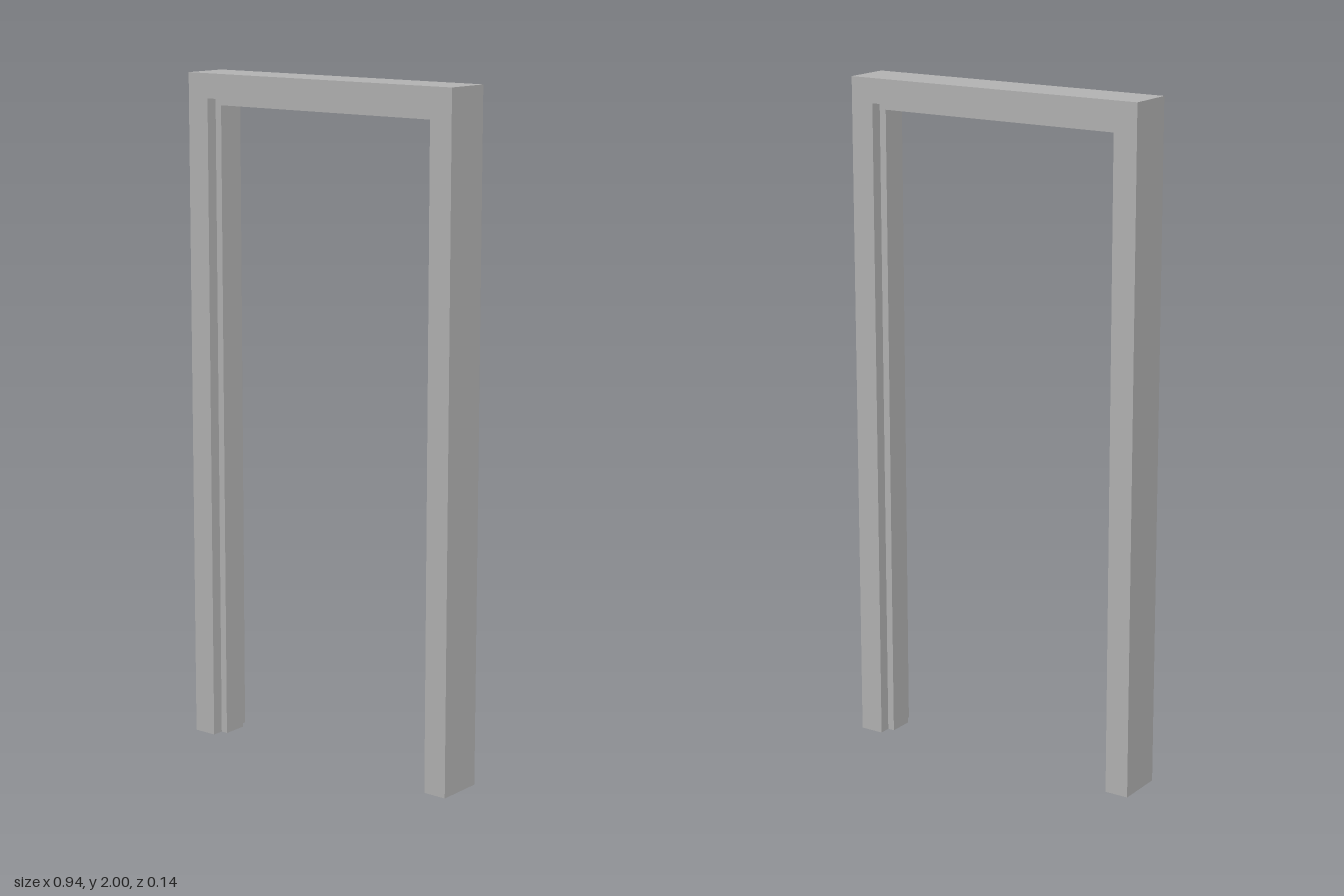
import * as THREE from 'three';

const W = 0.471;   // half width
const H = 2;       // height
const F = 0.072;   // half depth
const JAMB = 0.072; // jamb thickness
const STOP = 0.093; // thickness including the stop
const S = 0.037;   // half depth of the stop

// Cross-section of the frame as [inset from outer edge, z]
const profile = [
  [0, F], [JAMB, F], [JAMB, S], [STOP, S],
  [STOP, -S], [JAMB, -S], [JAMB, -F], [0, -F],
];

// Four mitred stations: foot, corner, corner, foot
const stations = [
  (d) => [-(W - d), 0],
  (d) => [-(W - d), H - d],
  (d) => [W - d, H - d],
  (d) => [W - d, 0],
];

// Hollow run between two stations, open at the ends
function run(from, to) {
  const n = profile.length;
  const positions = [];
  const point = (station, i) => {
    const [d, z] = profile[i % n];
    const [x, y] = station(d);
    return [x, y, z];
  };
  for (let i = 0; i < n; i++) {
    const a = point(from, i), b = point(from, i + 1);
    const c = point(to, i + 1), e = point(to, i);
    positions.push(...a, ...b, ...c, ...a, ...c, ...e);
  }
  const geometry = new THREE.BufferGeometry();
  geometry.setAttribute('position', new THREE.Float32BufferAttribute(positions, 3));
  geometry.computeVertexNormals();
  return geometry;
}

export function createModel() {
  const group = new THREE.Group();
  group.name = 'doorFrame';
  const material = new THREE.MeshStandardMaterial({ color: 0xb4b4b4, side: THREE.DoubleSide });
  material.name = 'grey';

  // Two legs and the head between them
  ['rightJamb', 'head', 'leftJamb'].forEach((name, i) => {
    const mesh = new THREE.Mesh(run(stations[i], stations[i + 1]), material);
    mesh.name = name;
    group.add(mesh);
  });
  return group;
}
